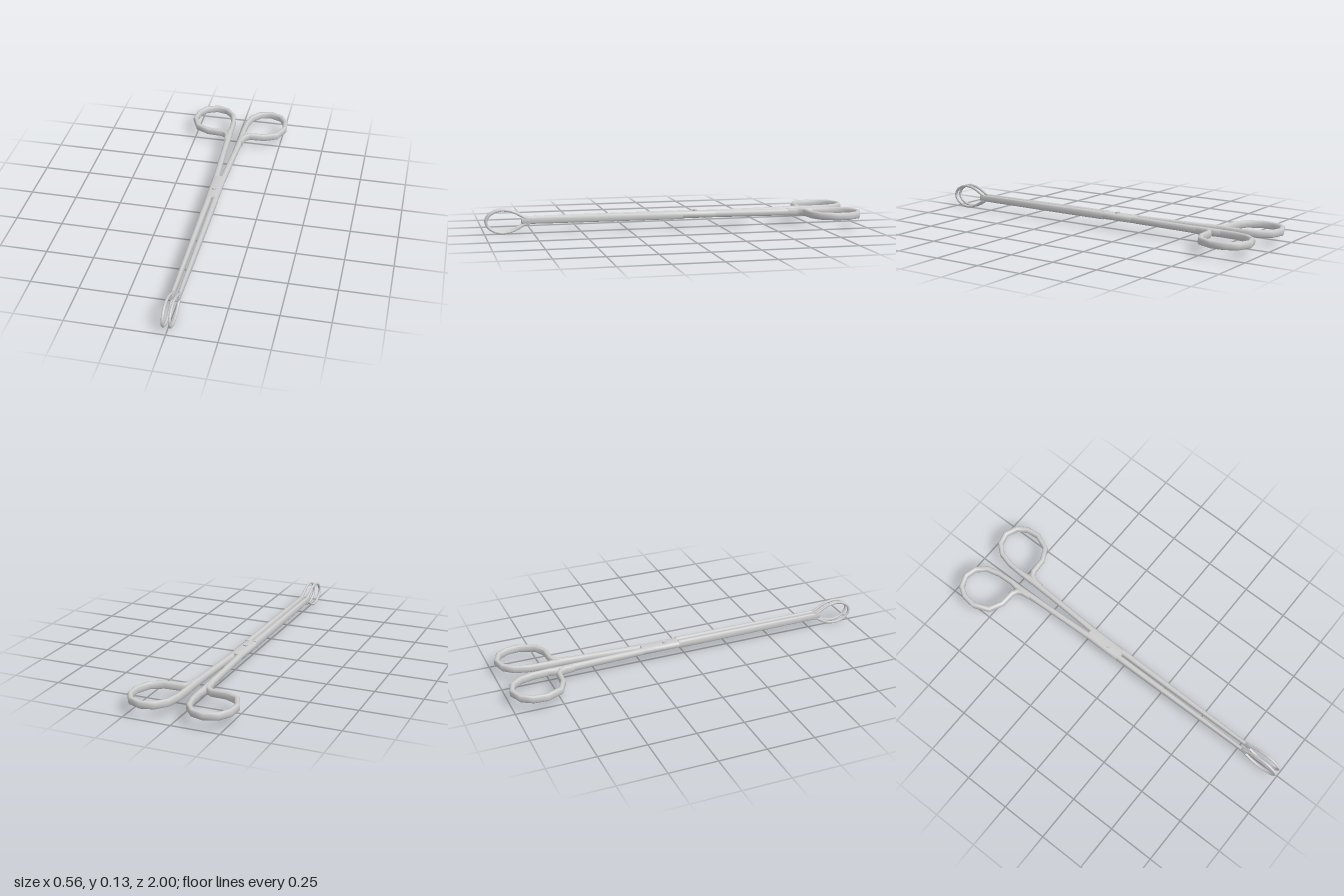
import * as THREE from 'three';

const MID = 0.07; // height of the instrument's central plane
const SIDES = 12;
const material = new THREE.MeshStandardMaterial({ color: 0xcccccc });
const UP = new THREE.Vector3(0, 1, 0);
const SIDEWAYS = new THREE.Vector3(1, 0, 0);

// Mitred sweep of a rounded section along a path lying across `axis`.
// Each station is { p, w, h }: centre, half width in the plane, half height along axis.
function sweep(name, stations, axis, { closed = false, power = 0.8 } = {}) {
  const n = stations.length, pos = [], index = [];
  const direction = (a, b) => stations[b].p.clone().sub(stations[a].p).projectOnPlane(axis).normalize();
  const round = v => Math.sign(v) * Math.pow(Math.abs(v), power);
  for (let i = 0; i < n; i++) {
    const { p, w, h } = stations[i];
    const prev = closed ? (i + n - 1) % n : Math.max(i - 1, 0);
    const next = closed ? (i + 1) % n : Math.min(i + 1, n - 1);
    const d0 = prev === i ? direction(i, next) : direction(prev, i);
    const d1 = next === i ? d0 : direction(i, next);
    const t = d0.clone().add(d1).normalize();
    const miter = 1 / Math.max(0.7, t.dot(d1));
    const side = axis.clone().cross(t);
    for (let j = 0; j < SIDES; j++) {
      const a = j / SIDES * Math.PI * 2;
      const v = p.clone().addScaledVector(side, round(Math.cos(a)) * w * miter)
        .addScaledVector(axis, round(Math.sin(a)) * h);
      pos.push(v.x, v.y, v.z);
    }
  }
  for (let i = 0; i < (closed ? n : n - 1); i++) {
    for (let j = 0; j < SIDES; j++) {
      const k = (j + 1) % SIDES, a = i * SIDES, b = ((i + 1) % n) * SIDES;
      index.push(a + j, a + k, b + k, a + j, b + k, b + j);
    }
  }
  // flat end caps with their own vertices
  if (!closed) {
    for (const end of [0, n - 1]) {
      const base = pos.length / 3;
      pos.push(...pos.slice(end * SIDES * 3, (end + 1) * SIDES * 3));
      for (let j = 1; j < SIDES - 1; j++) {
        if (end) index.push(base, base + j, base + j + 1);
        else index.push(base, base + j + 1, base + j);
      }
    }
  }
  const g = new THREE.BufferGeometry();
  g.setAttribute('position', new THREE.Float32BufferAttribute(pos, 3));
  g.setIndex(index);
  g.computeVertexNormals();
  const mesh = new THREE.Mesh(g, material);
  mesh.name = name;
  return mesh;
}

// A straight member given as [z, inner x, outer x, half height]
const member = (name, rows, s, power) => sweep(name, rows.map(([z, inner, outer, h]) => ({
  p: new THREE.Vector3(s * (inner + outer) / 2, MID, z), w: (outer - inner) / 2, h,
})), UP, { power });

export function createModel() {
  const model = new THREE.Group();

  // finger ring centreline as [x, z], from the fillet on the shank around and back
  const ring = [
    [0.042, -0.63], [0.046, -0.675], [0.057, -0.703], [0.085, -0.72], [0.165, -0.724],
    [0.232, -0.757], [0.266, -0.835], [0.26, -0.905], [0.228, -0.958], [0.163, -0.985],
    [0.1, -0.968], [0.058, -0.918], [0.04, -0.845], [0.036, -0.76], [0.036, -0.69],
  ];
  // upper half of the jaw loop as [z, y above the middle]
  const upper = [
    [0.77, 0.011], [0.8, 0.02], [0.835, 0.041], [0.87, 0.055], [0.91, 0.06],
    [0.945, 0.053], [0.973, 0.037], [0.988, 0.018],
  ];
  const loop = [...upper, [0.993, 0], ...upper.slice().reverse().map(([z, y]) => [z, -y])];

  for (const s of [-1, 1]) {
    const half = new THREE.Group();
    half.name = s > 0 ? 'leftHalf' : 'rightHalf';
    const shift = s > 0 ? 0.008 : 0; // the two rings sit slightly staggered

    half.add(sweep('fingerRing', ring.map(([x, z]) => ({
      p: new THREE.Vector3(s * x, MID, z + shift), w: 0.0135, h: 0.02,
    })), UP, { power: 0.75 }));

    half.add(member('shank', [
      [-0.78 + shift, 0.024, 0.048, 0.019], [-0.72 + shift, 0.022, 0.056, 0.02],
      [-0.67, 0.021, 0.054, 0.02], [-0.5, 0.016, 0.046, 0.019],
      [-0.24, 0.003, 0.036, 0.018], [-0.18, 0.0, 0.032, 0.016],
    ], s, 0.8));

    half.add(member('jawArm', [
      [-0.04, 0.002, 0.035, 0.021], [0.1, 0.003, 0.034, 0.021], [0.4, 0.005, 0.031, 0.02],
      [0.7, 0.007, 0.027, 0.019], [0.78, 0.009, 0.026, 0.018], [0.81, 0.011, 0.024, 0.016],
    ], s, 0.7));

    half.add(sweep('jawLoop', loop.map(([z, y]) => ({
      p: new THREE.Vector3(s * 0.0175, 0.068 + y, z), w: 0.007, h: 0.0068,
    })), SIDEWAYS, { closed: true, power: 0.8 }));
    model.add(half);
  }

  // box joint with its pivot pin
  model.add(member('boxJoint', [
    [-0.245, -0.035, 0.032, 0.018], [-0.235, -0.037, 0.035, 0.0185],
    [-0.12, -0.037, 0.035, 0.0185], [-0.03, -0.035, 0.034, 0.0185],
  ], 1, 0.55));
  const pin = new THREE.Mesh(new THREE.CylinderGeometry(0.012, 0.012, 0.047, 16), material);
  pin.name = 'pivotPin';
  pin.position.set(-0.003, 0.0715, -0.115);
  model.add(pin);

  return model;
}
